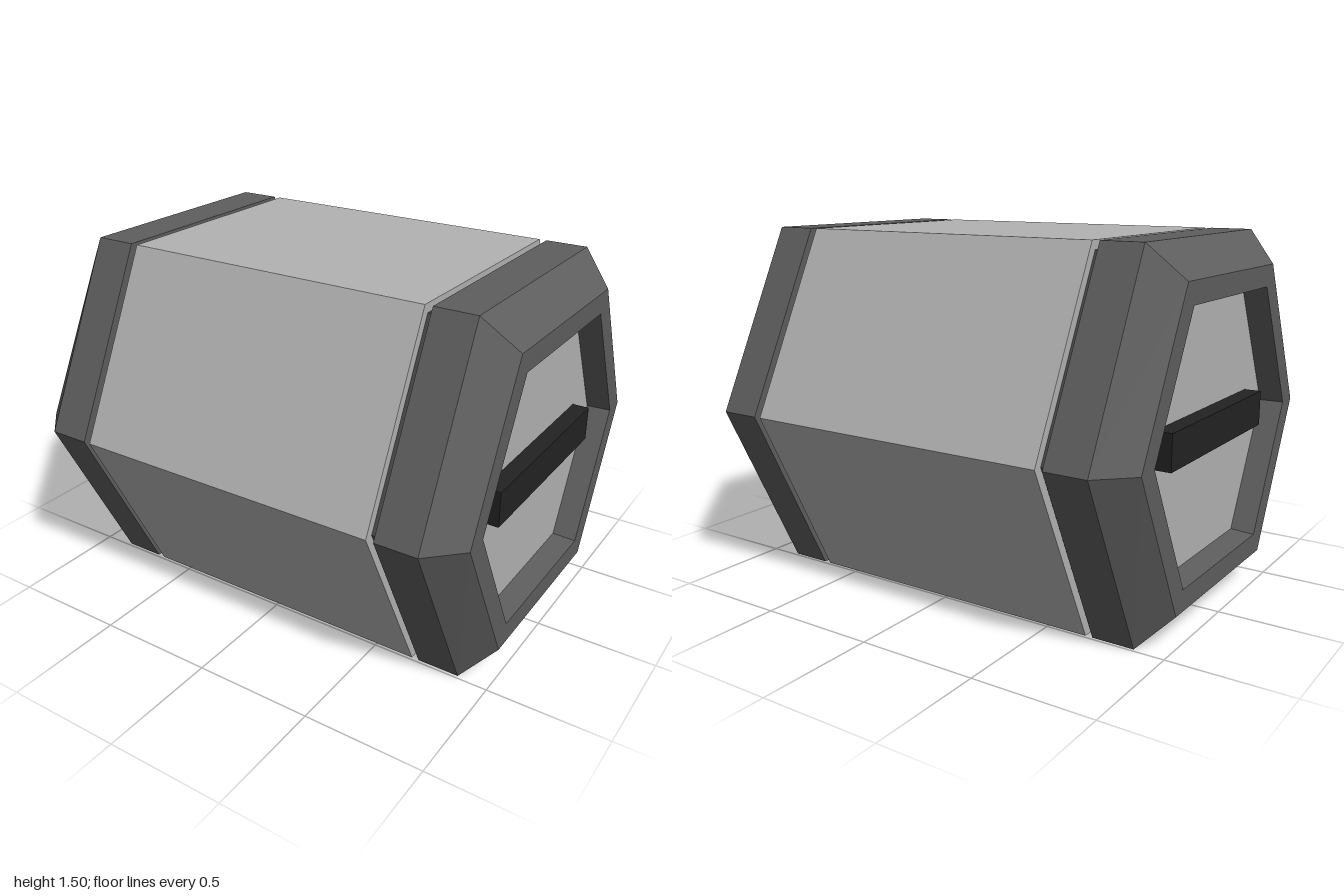
import * as THREE from 'three';

const MID = 0.7475; // height of the long axis

// Hexagon sections as [halfDepth, halfHeight, cornerDepth]
const OUTER = [0.854, 0.7475, 0.487];
const CORE = [0.815, 0.712, 0.465];
const BEVEL = [0.725, 0.615, 0.41];
const MOUTH = [0.627, 0.527, 0.354];
const FLOOR = [0.617, 0.519, 0.348];
const CENTRE = [0, 0, 0];

function ring(x, [w, h, c]) {
  return [[w, 0], [c, h], [-c, h], [-w, 0], [-c, -h], [c, -h]]
    .map(([z, y]) => [x, MID + y, z]);
}

// Flat-shaded skin through hexagonal sections listed along x
function loft(sections) {
  const pos = [];
  for (let s = 0; s < sections.length - 1; s++) {
    const a = ring(...sections[s]);
    const b = ring(...sections[s + 1]);
    for (let i = 0; i < 6; i++) {
      const j = (i + 1) % 6;
      if (sections[s][1] !== CENTRE) pos.push(...a[i], ...b[j], ...a[j]);
      if (sections[s + 1][1] !== CENTRE) pos.push(...a[i], ...b[i], ...b[j]);
    }
  }
  const g = new THREE.BufferGeometry();
  g.setAttribute('position', new THREE.Float32BufferAttribute(pos, 3));
  g.computeVertexNormals();
  return g;
}

function material(name, color) {
  const m = new THREE.MeshStandardMaterial({ color });
  m.name = name;
  return m;
}

export function createModel() {
  const lightGrey = material('lightGrey', 0xb2b2b2);
  const darkGrey = material('darkGrey', 0x5e5e5e);
  const grooveGrey = material('grooveGrey', 0x484848);
  const black = material('black', 0x222222);

  const model = new THREE.Group();
  model.name = 'hexagonalContainer';
  const add = (parent, name, geometry, mat) => {
    const mesh = new THREE.Mesh(geometry, mat);
    mesh.name = name;
    parent.add(mesh);
    return mesh;
  };

  // Main shell with end walls down to the core
  add(model, 'body', loft([[-0.665, CORE], [-0.665, OUTER], [0.665, OUTER], [0.665, CORE]]), lightGrey);

  for (const side of ['left', 'right']) {
    const end = new THREE.Group();
    end.name = side + 'End';
    // Sunken seam between the shell and the cap
    add(end, 'groove', loft([[0.665, CORE], [0.695, CORE]]), grooveGrey);
    // Bevelled cap with a recessed opening
    add(end, 'cap', loft([
      [0.695, CORE], [0.695, OUTER], [0.87, OUTER],
      [1, BEVEL], [1, MOUTH], [0.9, FLOOR],
    ]), darkGrey);
    // Panel at the bottom of the recess
    add(end, 'endPanel', loft([[0.9, FLOOR], [0.9, CENTRE]]), lightGrey);
    // Horizontal handle bar
    add(end, 'handle', new THREE.BoxGeometry(0.07, 0.145, 0.86), black).position.set(0.935, 0.755, 0);
    if (side === 'right') end.rotation.y = Math.PI;
    model.add(end);
  }
  return model;
}
